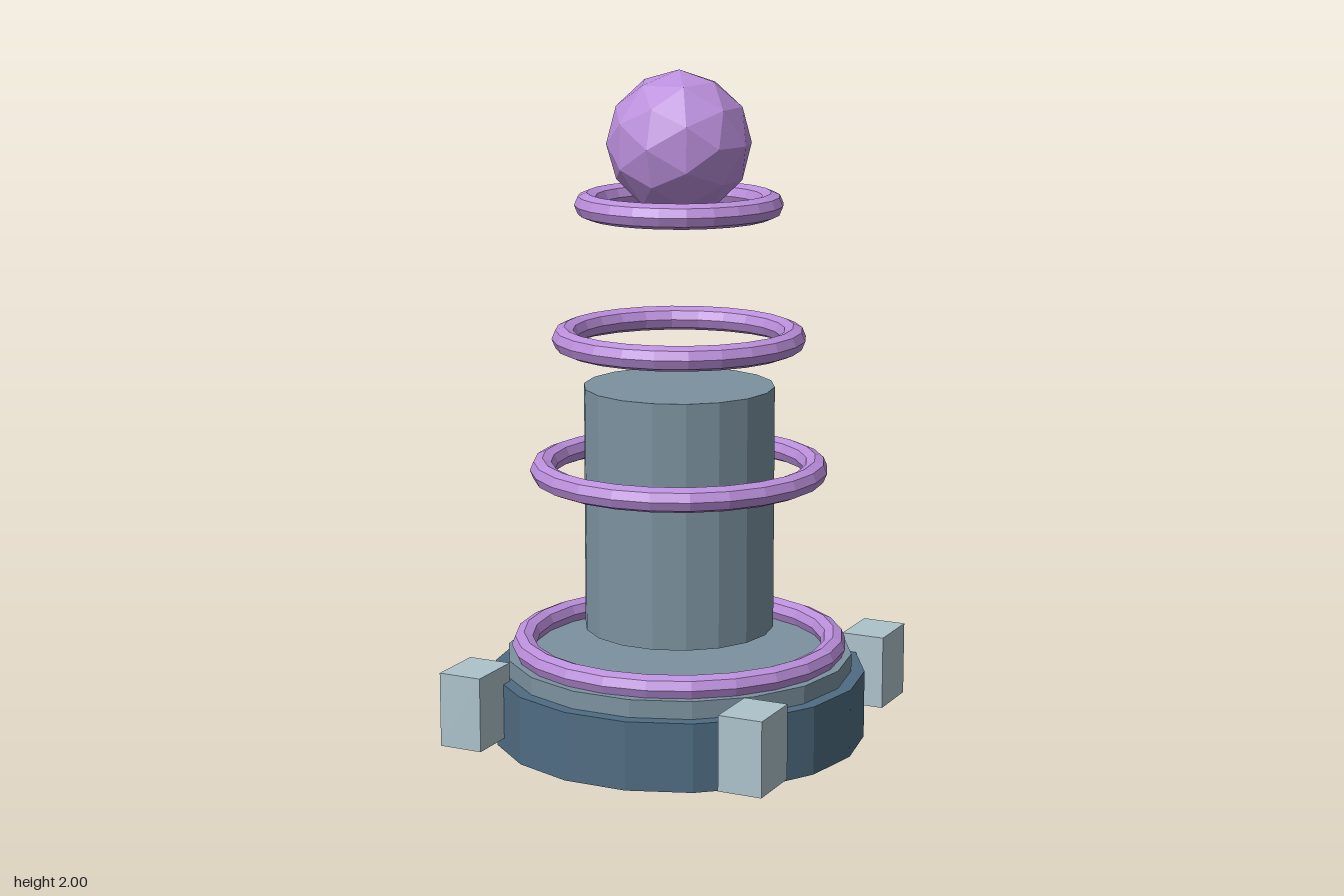
import * as THREE from 'three';

export function createModel() {
  const model = new THREE.Group();
  model.name = 'ringTower';

  const material = (name, color) => {
    const m = new THREE.MeshStandardMaterial({ color, flatShading: true });
    m.name = name;
    return m;
  };
  const darkSlate = material('dark slate', 0x4f6c82);
  const greySteel = material('grey steel', 0x7b929f);
  const paleSteel = material('pale steel', 0xadc2cb);
  const violet = material('violet', 0xbb8fdc);

  const add = (name, geometry, mat, x = 0, y = 0, z = 0) => {
    const mesh = new THREE.Mesh(geometry, mat);
    mesh.name = name;
    mesh.position.set(x, y, z);
    model.add(mesh);
    return mesh;
  };

  // 18-sided drum with a corner on the x axis, spanning two heights
  const drum = (name, radius, bottom, top, mat) => {
    const geometry = new THREE.CylinderGeometry(radius, radius, top - bottom, 18);
    geometry.rotateY(Math.PI / 2);
    add(name, geometry, mat, 0, (bottom + top) / 2);
  };

  // Stepped base and the column hovering above it
  drum('base', 0.56, 0, 0.205, darkSlate);
  drum('baseStep', 0.52, 0.2, 0.258, greySteel);
  drum('column', 0.284, 0.337, 1.07, greySteel);

  // Four corner blocks
  for (const x of [-0.45, 0.45]) {
    for (const z of [-0.45, 0.45]) {
      add('cornerBlock', new THREE.BoxGeometry(0.134, 0.223, 0.178), paleSteel, x, 0.15, z);
    }
  }

  // Floating rings, narrowing upwards: [ring radius, height]
  const rings = [[0.467, 0.283], [0.407, 0.818], [0.339, 1.213], [0.27, 1.608]];
  for (const [radius, y] of rings) {
    const geometry = new THREE.TorusGeometry(radius, 0.037, 8, 24);
    geometry.rotateX(Math.PI / 2);
    add('floatingRing', geometry, violet, 0, y);
  }

  // Faceted orb at the top
  add('orb', new THREE.IcosahedronGeometry(0.213, 1), violet, 0, 1.787);

  return model;
}
